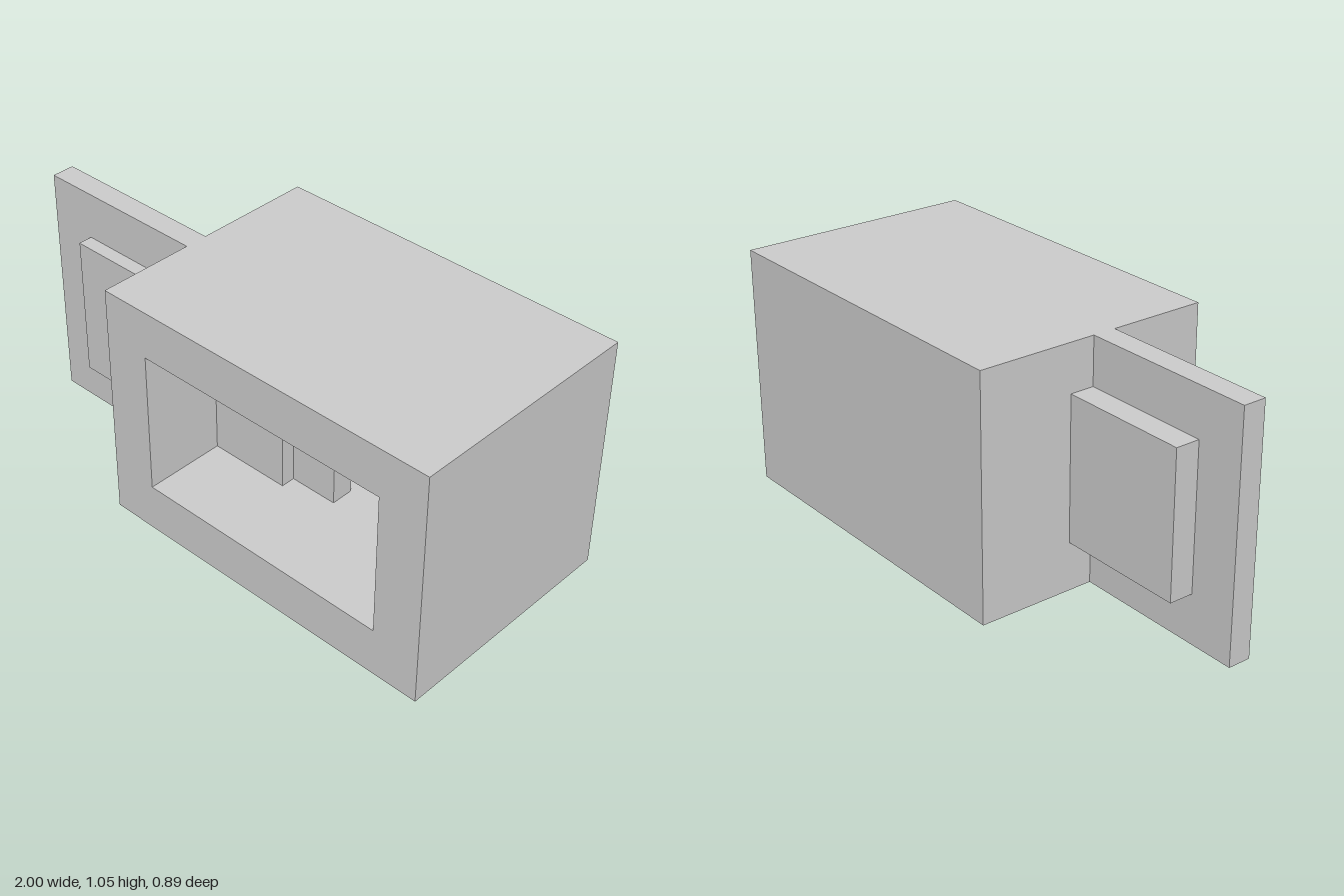
import * as THREE from 'three';
import { toCreasedNormals } from 'three/addons/utils/BufferGeometryUtils.js';

export function createModel() {
  const model = new THREE.Group();
  const material = new THREE.MeshStandardMaterial({ color: 0xcccccc });

  function add(name, geometry, parent = model) {
    const mesh = new THREE.Mesh(geometry, material);
    mesh.name = name;
    parent.add(mesh);
    return mesh;
  }
  // box given by its limits on each axis
  function block(name, [x0, x1], [y0, y1], [z0, z1], parent) {
    const mesh = add(name, new THREE.BoxGeometry(x1 - x0, y1 - y0, z1 - z0), parent);
    mesh.position.set((x0 + x1) / 2, (y0 + y1) / 2, (z0 + z1) / 2);
  }
  function rectangle(path, [x0, x1], [y0, y1]) {
    return path.moveTo(x0, y0).lineTo(x1, y0).lineTo(x1, y1).lineTo(x0, y1).closePath();
  }
  function extrude(shape, z0, z1) {
    const geometry = new THREE.ExtrudeGeometry(shape, { depth: z1 - z0, bevelEnabled: false, curveSegments: 24 });
    return toCreasedNormals(geometry.translate(0, 0, z0), 0.6);
  }

  const bodyX = [-0.335, 1], bodyY = [0.16, 1.048];
  const openX = [-0.16, 0.822], openY = [0.34, 0.872];
  const front = 0.444, cavityBack = -0.267;

  // housing: framed opening in front, closed wall behind
  const housing = new THREE.Group();
  housing.name = 'housing';
  model.add(housing);
  const frame = rectangle(new THREE.Shape(), bodyX, bodyY);
  frame.holes.push(rectangle(new THREE.Path(), openX, openY));
  add('housingFrame', extrude(frame, cavityBack, front), housing);
  block('housingBack', bodyX, bodyY, [-front, cavityBack], housing);

  // flat plate running through the side wall, with a thicker core
  const slider = new THREE.Group();
  slider.name = 'slider';
  model.add(slider);
  const plateZ = [0, 0.085], coreZ = [-0.09, 0.138];
  block('outerPlate', [-1, bodyX[0]], bodyY, plateZ, slider);
  block('innerPlate', [openX[0], 0.332], openY, plateZ, slider);
  block('outerCore', [-0.822, bodyX[0]], openY, coreZ, slider);
  block('innerCore', [openX[0], 0.15], openY, coreZ, slider);

  // half-round foot: rim with two quarter pockets, closed at the back
  const foot = new THREE.Group();
  foot.name = 'foot';
  foot.position.set(0.331, 0.16, 0);
  model.add(foot);
  const outer = 0.16, inner = 0.141, halfBar = 0.015;
  const half = () => new THREE.Shape().moveTo(-outer, 0).absarc(0, 0, outer, Math.PI, 2 * Math.PI, false).closePath();
  const rim = half();
  const tilt = Math.asin(halfBar / inner);
  for (const side of [-1, 1]) {
    const pocket = new THREE.Path();
    const start = side < 0 ? Math.PI + 0.02 : 1.5 * Math.PI + tilt;
    const end = side < 0 ? 1.5 * Math.PI - tilt : 2 * Math.PI - 0.02;
    pocket.moveTo(side * halfBar, -0.003).absarc(0, 0, inner, start, end, false).closePath();
    rim.holes.push(pocket);
  }
  add('footRim', extrude(rim, -0.035, 0.195), foot);
  add('footBack', extrude(half(), -0.055, -0.035), foot);

  return model;
}
